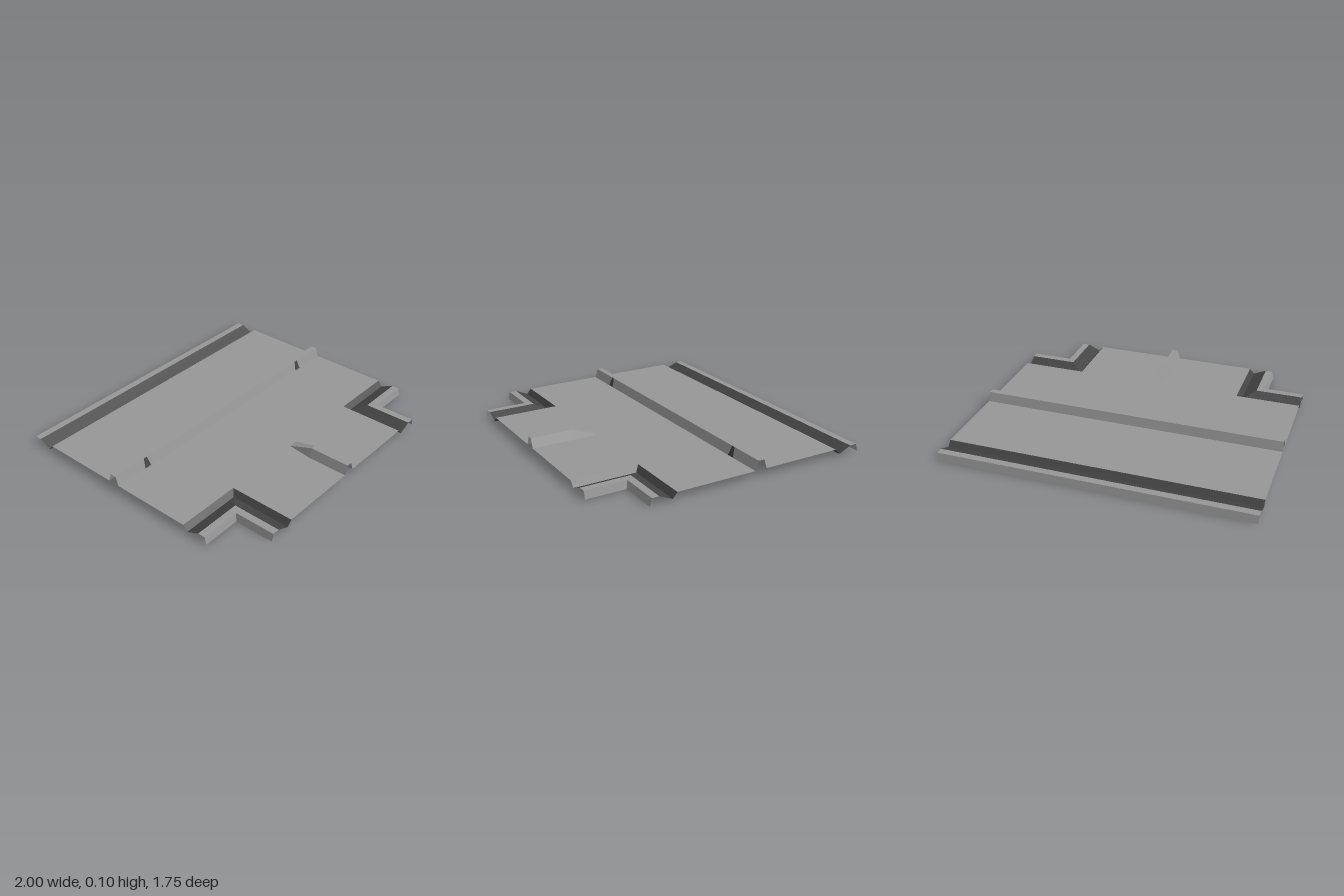
import * as THREE from 'three';

const GROUND = 0.045; // paved level
const CURB = 0.105;   // top of curb and divider

export function createModel() {
  const model = new THREE.Group();
  model.name = 'roadJunction';

  const paving = new THREE.MeshStandardMaterial({ color: 0x969696, side: THREE.DoubleSide });
  paving.name = 'paving grey';
  const drain = new THREE.MeshStandardMaterial({ color: 0x434343, side: THREE.DoubleSide });
  drain.name = 'drain dark grey';

  // Sheet of flat quads between successive rows of [x, y, z] points
  function sheet(name, rows, material) {
    const pos = [];
    for (let i = 0; i < rows.length - 1; i++) {
      for (let j = 0; j < rows[i].length - 1; j++) {
        const a = rows[i][j], b = rows[i][j + 1], c = rows[i + 1][j + 1], d = rows[i + 1][j];
        pos.push(...a, ...b, ...c, ...a, ...c, ...d);
      }
    }
    const geo = new THREE.BufferGeometry();
    geo.setAttribute('position', new THREE.Float32BufferAttribute(pos, 3));
    geo.computeVertexNormals();
    const mesh = new THREE.Mesh(geo, material);
    mesh.name = name;
    model.add(mesh);
  }

  // Flat floor rectangle
  const floor = (name, x0, x1, z0, z1) => sheet(name, [
    [[x0, GROUND, z1], [x1, GROUND, z1]],
    [[x0, GROUND, z0], [x1, GROUND, z0]],
  ], paving);

  floor('backRoad', -1, 1, -0.7, -0.17);
  floor('frontRoad', -1, 1, -0.09, 0.44);
  floor('sideRoadLeft', 0.04, 0.57, 0.44, 0.875);
  floor('sideRoadRight', -0.57, -0.04, 0.44, 0.875);

  // Gutter and verge profile: [distance out from the road edge, height]
  const profile = [[0, GROUND], [0.03, 0.01], [0.115, 0.048], [0.162, 0.048], [0.175, 0]];
  const gutter = profile.slice(0, 3), verge = profile.slice(2);

  // Straight gutter along the back
  const backRows = (p) => p.map(([d, y]) => [[-1, y, -0.7 - d], [1, y, -0.7 - d]]);
  sheet('backGutter', backRows(gutter), drain);
  sheet('backVerge', backRows(verge), paving);

  // Mitred gutters round the two front corners
  for (const s of [1, -1]) {
    const side = s > 0 ? 'Left' : 'Right';
    const cornerRows = (p) => p.map(([d, y]) => {
      const row = [
        [s, y, 0.44 + d],
        [s * (0.57 + d), y, 0.44 + d],
        [s * (0.57 + d), y, 0.875],
      ];
      return s > 0 ? row.reverse() : row;
    }).reverse();
    sheet('cornerGutter' + side, cornerRows(gutter), drain);
    sheet('cornerVerge' + side, cornerRows(verge), paving);
  }

  // Raised hollow curb across the road: back slope and top
  sheet('curb', [[-0.11, CURB], [-0.15, CURB], [-0.17, GROUND]].map(
    ([z, y]) => [[-1, y, z], [1, y, z]]), paving);

  // Front slope of the curb, with two tapered drain inlets
  const low = [-1, -0.777, -0.728, 0.728, 0.777, 1];
  const high = [-1, -0.765, -0.74, 0.74, 0.765, 1];
  for (let i = 0; i < 5; i++) {
    const inlet = i % 2 === 1;
    sheet(inlet ? 'drainInlet' : 'curbFront', [
      [[low[i], GROUND, -0.09], [low[i + 1], GROUND, -0.09]],
      [[high[i], CURB, -0.11], [high[i + 1], CURB, -0.11]],
    ], inlet ? drain : paving);
  }

  // Hollow divider on the side road, ramping down to the junction
  const section = (z, top) => [
    [-0.04, GROUND, z], [-0.018, top, z], [0.018, top, z], [0.04, GROUND, z],
  ];
  sheet('divider', [section(0.875, CURB), section(0.605, CURB), section(0.44, GROUND)], paving);

  return model;
}
